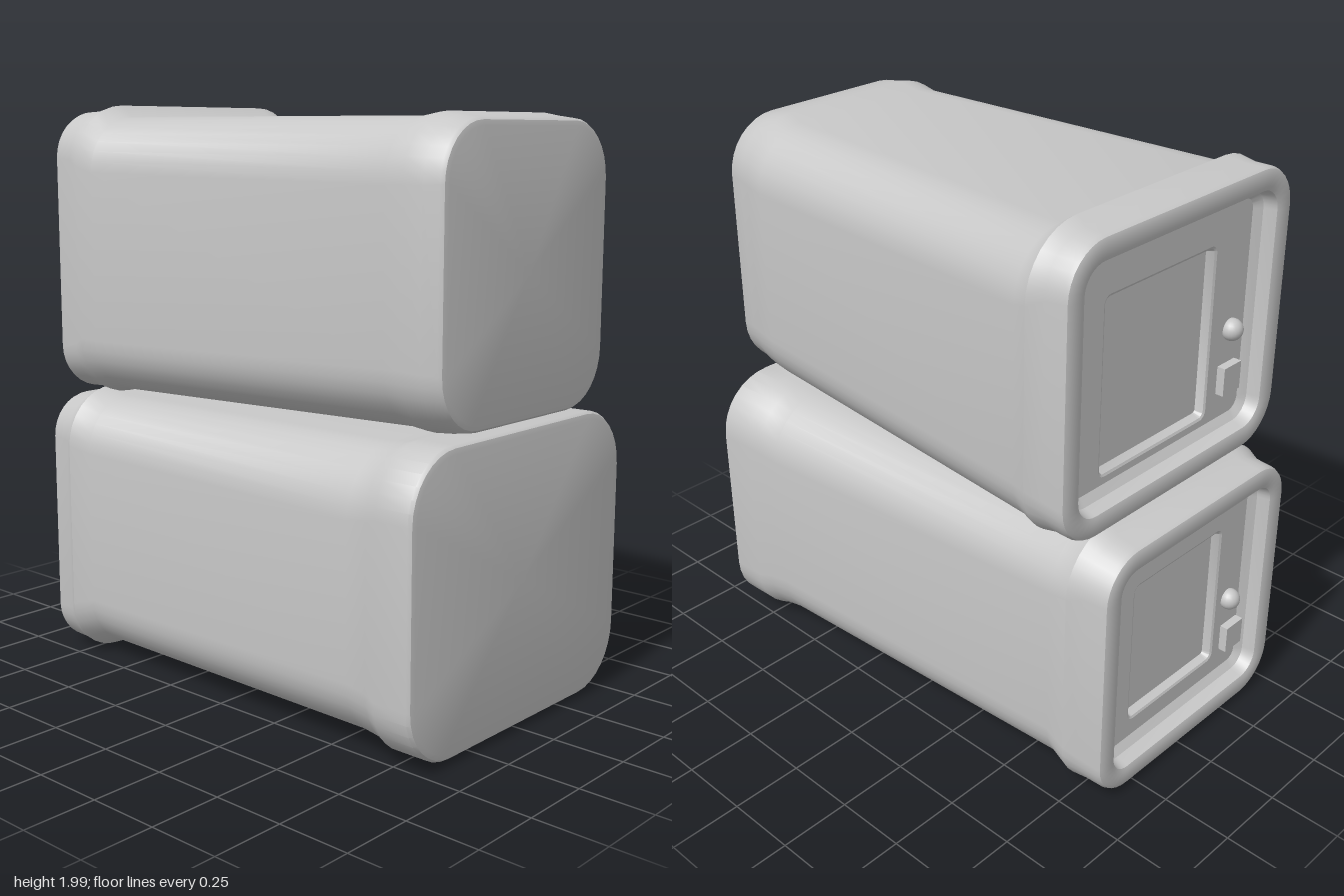
import * as THREE from 'three';
import { toCreasedNormals } from 'three/addons/utils/BufferGeometryUtils.js';

const grey = new THREE.MeshStandardMaterial({ color: 0xc8c8c8 });
grey.name = 'plain grey';

const CORNER = 9; // points per rounded corner

// Rounded rectangle section [z, x0, x1, y0, y1, r], counter-clockwise from +z
function ring([z, x0, x1, y0, y1, r]) {
  const corners = [[x1 - r, y1 - r], [x0 + r, y1 - r], [x0 + r, y0 + r], [x1 - r, y0 + r]];
  const pts = [];
  corners.forEach(([cx, cy], q) => {
    for (let i = 0; i < CORNER; i++) {
      const a = (q + i / (CORNER - 1)) * Math.PI / 2;
      pts.push([cx + r * Math.cos(a), cy + r * Math.sin(a), z]);
    }
  });
  return pts;
}

const inset = ([z, x0, x1, y0, y1, r], d, dz = 0) =>
  [z + dz, x0 + d, x1 - d, y0 + d, y1 - d, Math.max(r - d, 0.005)];

// Section collapsed to its centre, used to close an end
const centre = ([z, x0, x1, y0, y1]) => {
  const x = (x0 + x1) / 2, y = (y0 + y1) / 2;
  return [z, x, x, y, y, 0];
};

// Skin through sections running from front to back (or inwards on a rear face)
function loft(sections) {
  const rings = sections.map(ring), n = CORNER * 4;
  const pos = rings.flat(2), index = [];
  for (let i = 0; i < rings.length - 1; i++) {
    for (let j = 0; j < n; j++) {
      const k = (j + 1) % n;
      const a = i * n + j, b = i * n + k, c = a + n, d = b + n;
      if (sections[i][5] > 0) index.push(a, c, b);
      if (sections[i + 1][5] > 0) index.push(b, c, d);
    }
  }
  const geo = new THREE.BufferGeometry();
  geo.setAttribute('position', new THREE.Float32BufferAttribute(pos, 3));
  geo.setIndex(index);
  return toCreasedNormals(geo, 0.65);
}

function add(group, name, geo, x = 0, y = 0, z = 0) {
  const mesh = new THREE.Mesh(geo, grey);
  mesh.name = name;
  mesh.position.set(x, y, z);
  group.add(mesh);
  return mesh;
}

// One tapered casing with a recessed rear face, hatch, button and switch
function makeUnit({ name, sections, hatch, button, toggle }) {
  const unit = new THREE.Group();
  unit.name = name;
  const front = sections[0], back = sections[sections.length - 1];

  // Casing: closed front, softened edges, rear rim
  const rim = inset(back, 0.075);
  const panel = inset(back, 0.115, 0.07);
  add(unit, 'casing', loft([
    centre(front), inset(front, 0.025), inset(front, 0.008, -0.004), [front[0] - 0.015, ...front.slice(1)],
    ...sections.slice(1, -1),
    [back[0] + 0.02, ...back.slice(1)], inset(back, 0.006, 0.006), inset(back, 0.02),
    inset(rim, -0.015), inset(rim, 0, 0.006), inset(rim, 0.012, 0.05), panel,
  ]));

  // Rear panel flat with an opening, then the sunken hatch
  const opening = [panel[0], ...hatch, 0.03];
  add(unit, 'rearPanel', loft([panel, opening]));
  const floor = inset(opening, 0.018, 0.03);
  add(unit, 'hatch', loft([opening, inset(opening, 0.008, 0.004), floor, centre(floor)]));

  // Round button and square switch beside the hatch
  add(unit, 'button', new THREE.SphereGeometry(0.038, 20, 14), button[0], button[1], panel[0] - 0.01);
  add(unit, 'squareSwitch', new THREE.BoxGeometry(0.09, 0.1, 0.06), toggle[0], toggle[1], panel[0]);
  return unit;
}

export function createModel() {
  const model = new THREE.Group();
  model.name = 'stackedUnits';

  // Lower unit: wide front, narrower back
  model.add(makeUnit({
    name: 'lowerUnit',
    sections: [
      [0.87, -0.575, 0.565, 0.02, 1.0, 0.21],
      [0.73, -0.575, 0.56, 0.02, 1.0, 0.21],
      [0.68, -0.555, 0.545, 0.03, 0.985, 0.21],
      [0.6, -0.55, 0.537, 0.04, 0.975, 0.21],
      [-0.65, -0.51, 0.455, 0.04, 0.965, 0.19],
      [-0.73, -0.535, 0.47, 0.008, 0.995, 0.2],
      [-0.78, -0.505, 0.445, 0.015, 0.967, 0.16],
      [-0.87, -0.5, 0.44, 0.02, 0.96, 0.15],
    ],
    hatch: [-0.25, 0.22, 0.2, 0.75],
    button: [-0.315, 0.43],
    toggle: [-0.335, 0.27],
  }));

  // Upper unit: narrow front, wider back
  model.add(makeUnit({
    name: 'upperUnit',
    sections: [
      [0.87, -0.445, 0.43, 1.02, 1.95, 0.19],
      [0.8, -0.455, 0.435, 1.012, 1.958, 0.2],
      [0.74, -0.47, 0.455, 1.008, 1.968, 0.21],
      [0.66, -0.455, 0.468, 1.015, 1.955, 0.2],
      [-0.58, -0.525, 0.55, 1.0, 1.96, 0.19],
      [-0.64, -0.54, 0.57, 0.985, 2.0, 0.21],
      [-0.69, -0.525, 0.545, 1.0, 1.982, 0.17],
      [-0.77, -0.53, 0.54, 1.0, 1.978, 0.16],
    ],
    hatch: [-0.24, 0.3, 1.14, 1.75],
    button: [-0.34, 1.43],
    toggle: [-0.335, 1.26],
  }));

  return model;
}
